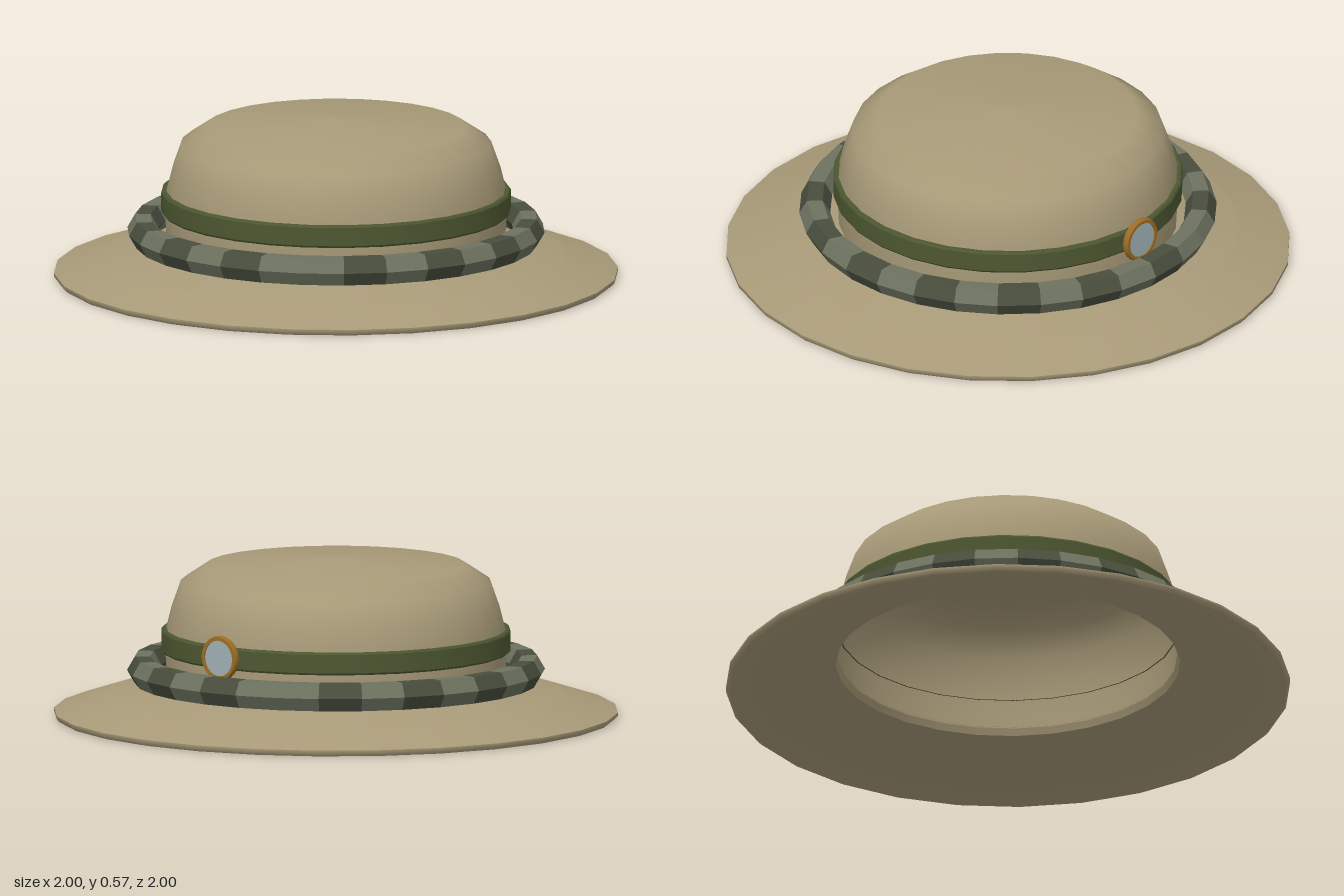
import * as THREE from 'three';
import { mergeGeometries, toCreasedNormals } from 'three/addons/utils/BufferGeometryUtils.js';

const SIDES = 28;
const ROPE_SEGMENTS = 30;

const toPoints = (pairs) => pairs.map(([r, y]) => new THREE.Vector2(r, y));
const lathe = (pairs, sides = SIDES) => new THREE.LatheGeometry(toPoints(pairs), sides);

function addMesh(parent, name, geometry, color, options = {}) {
  const mesh = new THREE.Mesh(geometry, new THREE.MeshStandardMaterial({ color, ...options }));
  mesh.name = name;
  parent.add(mesh);
  return mesh;
}

export function createModel() {
  const hat = new THREE.Group();
  hat.name = 'hat';
  const felt = 0xa89a78;

  // Sloping brim: two upper rings, a thin edge and a hollow underside
  const brim = new THREE.Group();
  brim.name = 'brim';
  hat.add(brim);
  addMesh(brim, 'brimOuterTop', lathe([[1, 0.022], [0.82, 0.08]]), felt);
  addMesh(brim, 'brimInnerTop', lathe([[0.82, 0.08], [0.6, 0.13]]), felt);
  addMesh(brim, 'brimEdge', lathe([[0.99, 0], [1, 0.01], [1, 0.022]]), felt);
  addMesh(brim, 'brimUnderside', lathe([[0.61, 0.1], [0.82, 0.055], [0.99, 0]]), felt);
  addMesh(brim, 'brimInnerLip', lathe([[0.6, 0.13], [0.61, 0.1]]), felt);

  // Rounded crown, open below
  const crown = [[0.6, 0.125], [0.605, 0.22], [0.603, 0.31], [0.583, 0.39],
    [0.55, 0.483], [0.46, 0.543], [0, 0.575]];
  addMesh(hat, 'crown', lathe(crown), felt, { side: THREE.DoubleSide });

  // Ribbon band around the crown
  const band = [[0.6, 0.235], [0.615, 0.235], [0.62, 0.242], [0.62, 0.308],
    [0.615, 0.315], [0.6, 0.315]];
  addMesh(hat, 'hatBand', toCreasedNormals(lathe(band), 0.5), 0x4d5731);

  // Six-sided rope ring in alternating tones, mirrored left to right
  const hexagon = [];
  for (let i = 0; i <= 6; i++) {
    const a = (i * Math.PI) / 3;
    hexagon.push([0.685 + 0.055 * Math.cos(a), 0.168 + 0.055 * Math.sin(a)]);
  }
  const step = (Math.PI * 2) / ROPE_SEGMENTS;
  const tones = [[], []];
  for (let k = 0; k < ROPE_SEGMENTS; k++) {
    const mirrored = Math.min(k, ROPE_SEGMENTS - 1 - k);
    tones[mirrored % 2].push(new THREE.LatheGeometry(toPoints(hexagon), 1, k * step, step));
  }
  const rope = new THREE.Group();
  rope.name = 'ropeRing';
  hat.add(rope);
  addMesh(rope, 'ropeLightSegments', mergeGeometries(tones[0]), 0x6c725f, { flatShading: true });
  addMesh(rope, 'ropeDarkSegments', mergeGeometries(tones[1]), 0x484d3d, { flatShading: true });

  // Round badge at the back, facing outwards
  const badge = new THREE.Group();
  badge.name = 'badge';
  const angle = Math.PI - 0.395;
  badge.position.set(0.645 * Math.sin(angle), 0.28, 0.645 * Math.cos(angle));
  badge.rotation.y = angle;
  hat.add(badge);
  const rim = [[0.064, -0.012], [0.076, -0.012], [0.08, -0.004], [0.08, 0.004],
    [0.076, 0.012], [0.064, 0.012], [0.064, -0.012]];
  const rimGeometry = toCreasedNormals(lathe(rim, 20), 0.6).rotateX(Math.PI / 2);
  addMesh(badge, 'badgeRim', rimGeometry, 0x9c6c24);
  const disc = new THREE.CylinderGeometry(0.066, 0.066, 0.014, 20).rotateX(Math.PI / 2);
  addMesh(badge, 'badgeDisc', disc, 0x9fb0b4);

  return hat;
}
